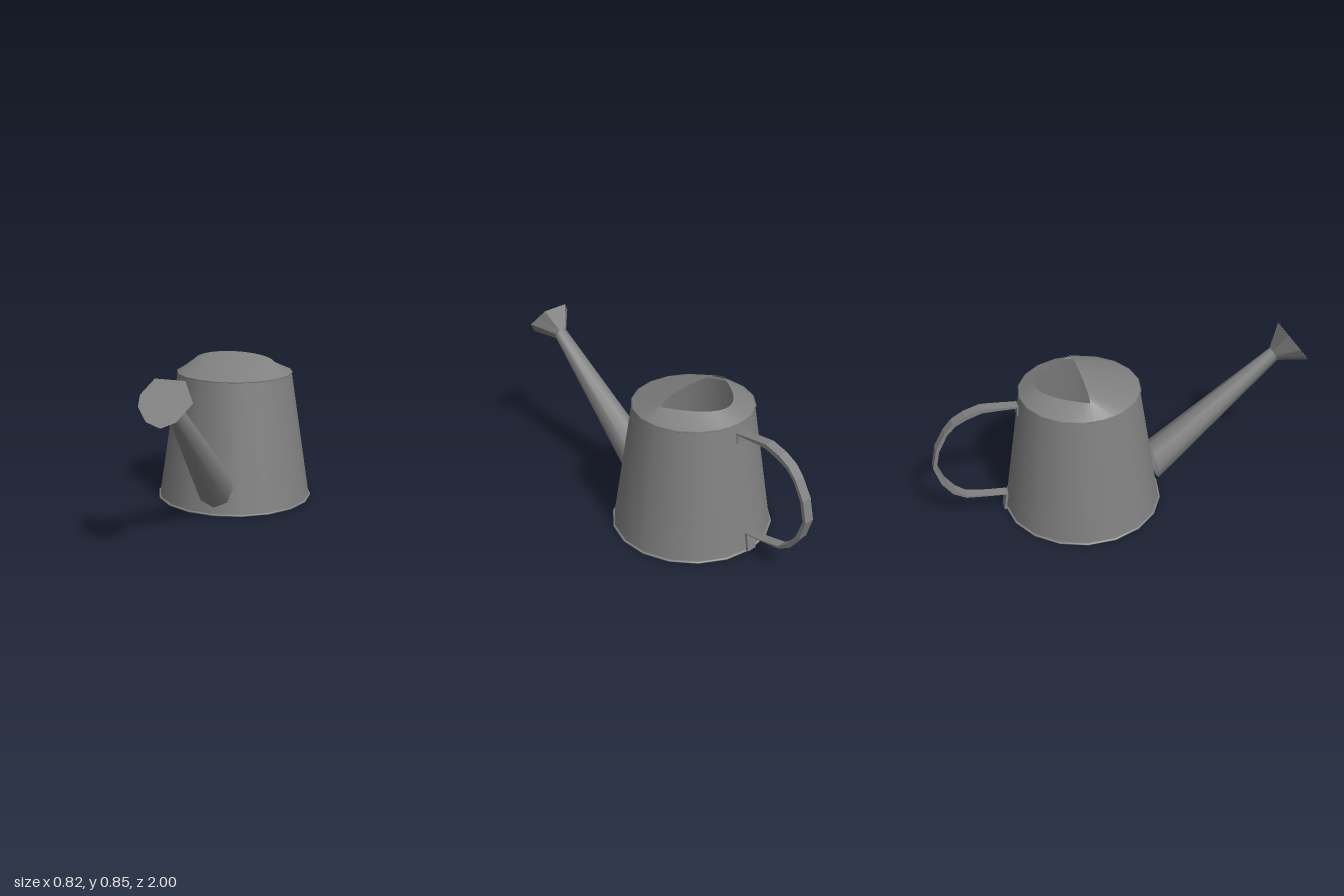
import * as THREE from 'three';

const SIDES = 18;
const CZ = -0.228; // body axis
const V = (x, y, z) => new THREE.Vector3(x, y, z);

// Skin a list of equal-length closed rings; optional flat caps and faceting
function loft(rings, { flat = false, capStart = false, capEnd = false } = {}) {
  const n = rings[0].length, pos = [], idx = [];
  rings.forEach(r => r.forEach(p => pos.push(p.x, p.y, p.z)));
  for (let i = 0; i < rings.length - 1; i++) {
    for (let j = 0; j < n; j++) {
      const a = i * n + j, b = i * n + (j + 1) % n;
      idx.push(a, b, a + n, b, b + n, a + n);
    }
  }
  const cap = (start, flip) => {
    for (let j = 1; j < n - 1; j++) {
      idx.push(start, start + (flip ? j + 1 : j), start + (flip ? j : j + 1));
    }
  };
  if (capStart) cap(0, true);
  if (capEnd) cap((rings.length - 1) * n, false);
  let g = new THREE.BufferGeometry();
  g.setAttribute('position', new THREE.Float32BufferAttribute(pos, 3));
  g.setIndex(idx);
  if (flat) g = g.toNonIndexed();
  g.computeVertexNormals();
  return g;
}

// Ring in a plane that contains x, tilted by the (y, z) half-height vector
function tiltedRing(n, y, z, rx, uy, uz) {
  return Array.from({ length: n }, (_, i) => {
    const a = (i / n) * Math.PI * 2, c = Math.cos(a), s = Math.sin(a);
    return V(rx * c, y + uy * s, z + uz * s);
  });
}

export function createModel() {
  const group = new THREE.Group();
  const metal = new THREE.MeshStandardMaterial({ color: 0x808080, side: THREE.DoubleSide });
  metal.name = 'grey metal';
  const add = (name, geometry) => {
    const mesh = new THREE.Mesh(geometry, metal);
    mesh.name = name;
    group.add(mesh);
    return mesh;
  };
  const lathe = (name, pts) => {
    const g = new THREE.LatheGeometry(pts.map(p => new THREE.Vector2(...p)), SIDES);
    add(name, g).position.z = CZ;
  };

  // Tapered can with thin rims and a floor
  lathe('body', [[0.408, 0.005], [0.306, 0.678]]);
  lathe('baseRim', [[0.408, 0.008], [0.417, 0.006], [0.417, 0], [0.4, 0]]);
  lathe('topRim', [[0.303, 0.683], [0.312, 0.68], [0.303, 0.673]]);
  lathe('floor', [[0.405, 0.006], [0, 0.006]]);

  // Lid: front half rises to an arch, back half frames a filling hole
  const outer = [], inner = [];
  const n = SIDES * 2;
  for (let i = 0; i < n; i++) {
    const a = (i / n) * Math.PI * 2, c = Math.cos(a), s = Math.sin(a);
    outer.push(V(0.305 * c, 0.68, CZ + 0.305 * s));
    inner.push(s > 0
      ? V(0.22 * c, 0.733 + 0.054 * s, CZ)
      : V(0.22 * c, 0.733, CZ - 0.222 * s * s));
  }
  add('lid', loft([inner, outer]));

  // Spout tapering from the can's foot to the rose
  add('spout', loft([
    tiltedRing(8, 0.152, 0.165, 0.1, 0.108, -0.018),
    tiltedRing(8, 0.706, 0.818, 0.034, 0.036, -0.02),
  ]));

  // Rose: faceted funnel with an irregular face
  const outline = [[0.07, 0.847], [-0.07, 0.85], [-0.122, 0.785], [-0.12, 0.74], [-0.07, 0.685],
    [0, 0.664], [0.065, 0.69], [0.124, 0.765], [0.1, 0.8]];
  const face = outline.map(([x, y]) => V(x, y, 0.857 + (0.85 - y) * 0.77));
  const neck = outline.map(([x, y]) => {
    const a = Math.atan2(y - 0.757, x), s = Math.sin(a);
    return V(0.034 * Math.cos(a), 0.706 + 0.037 * s, 0.818 - 0.021 * s);
  });
  add('rose', loft([neck, face], { flat: true, capEnd: true }));

  // Strap: rectangular sections along a path of [z, y, thickness]
  const strap = (name, path) => {
    const rings = path.map(([z, y, t], i) => {
      const p = path[Math.max(i - 1, 0)], q = path[Math.min(i + 1, path.length - 1)];
      const dz = q[0] - p[0], dy = q[1] - p[1], l = Math.hypot(dz, dy);
      const nz = (-dy / l) * t / 2, ny = (dz / l) * t / 2, w = 0.027;
      return [V(-w, y + ny, z + nz), V(w, y + ny, z + nz), V(w, y - ny, z - nz), V(-w, y - ny, z - nz)];
    });
    add(name, loft(rings, { flat: true, capStart: true, capEnd: true }));
  };
  strap('handle', [[-0.55, 0.64, 0.008], [-0.65, 0.647, 0.016], [-0.73, 0.651, 0.022],
    [-0.81, 0.626, 0.024], [-0.87, 0.594, 0.02], [-0.915, 0.545, 0.016], [-0.965, 0.455, 0.018],
    [-0.988, 0.35, 0.018], [-0.955, 0.25, 0.022], [-0.905, 0.178, 0.022], [-0.845, 0.137, 0.012],
    [-0.74, 0.12, 0.005], [-0.635, 0.108, 0.005]]);
  strap('upperHandleTab', [[-0.55, 0.645, 0.008], [-0.553, 0.59, 0.008]]);
  strap('lowerHandleTab', [[-0.636, 0.108, 0.012], [-0.651, 0.012, 0.014]]);

  return group;
}
